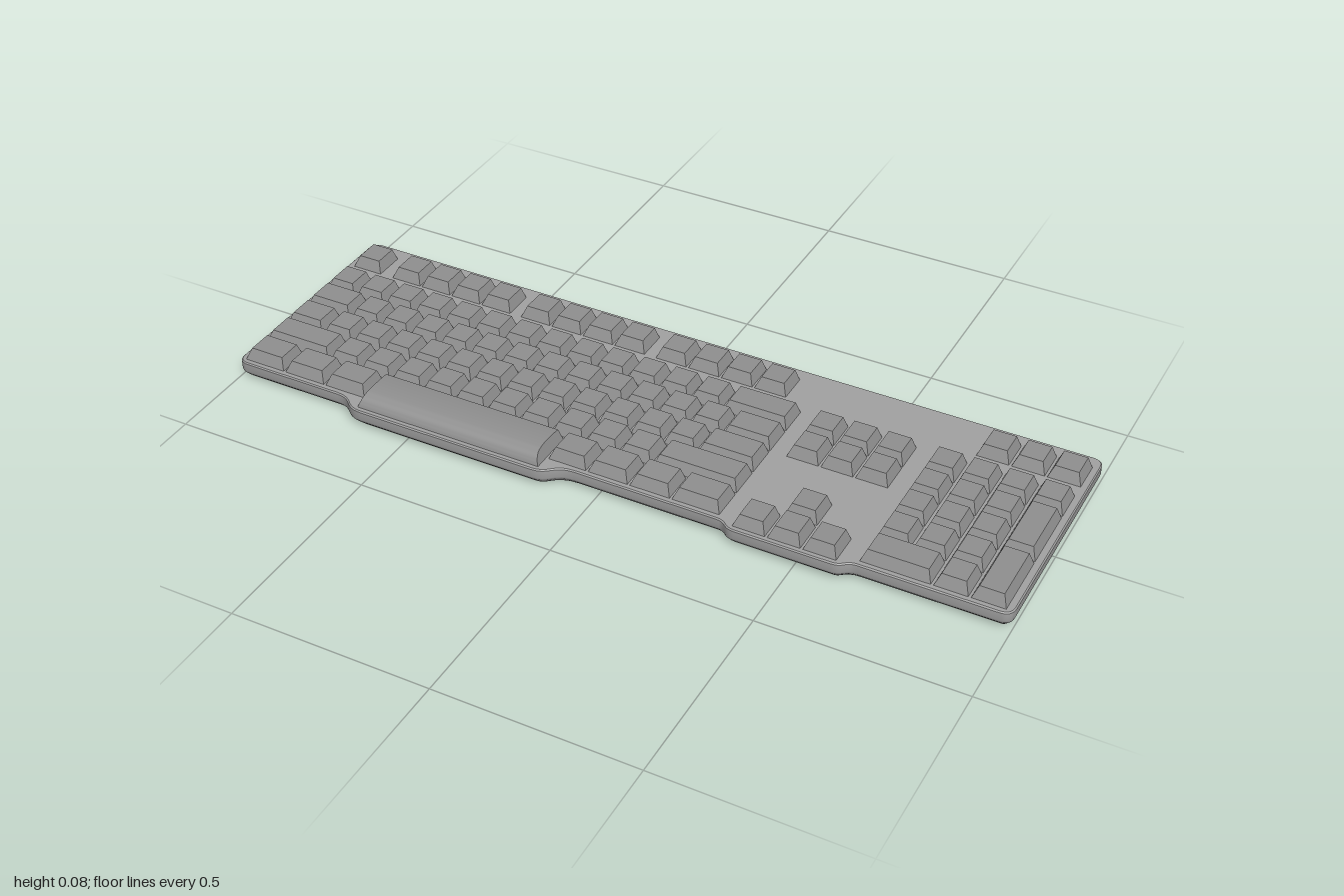
import * as THREE from 'three';
import { toCreasedNormals } from 'three/addons/utils/BufferGeometryUtils.js';

const DECK = 0.05, TOP = 0.078;
const U = 0.0862, ROW = 0.0875, DEPTH = 0.084, GAP = 0.003;
const rowZ = (r) => -0.163 + r * ROW; // back edge of a key row

const caseMaterial = new THREE.MeshStandardMaterial({ color: 0xa2a2a2 });
const keyMaterial = new THREE.MeshStandardMaterial({ color: 0x909090 });

// Plan outline, drawn as (x, -z) and counter-clockwise from above
function caseOutline() {
  const s = new THREE.Shape();
  const r = 0.03, f = -0.283, b = 0.32;
  s.moveTo(-1 + r, f);
  s.lineTo(-0.71, f);
  s.bezierCurveTo(-0.66, f, -0.67, -0.32, -0.62, -0.32); // space bar lip
  s.lineTo(-0.155, -0.32);
  s.bezierCurveTo(-0.105, -0.32, -0.115, f, -0.06, f);
  s.lineTo(0.3, f);
  s.bezierCurveTo(0.33, f, 0.325, -0.304, 0.355, -0.304); // arrow key lip
  s.lineTo(0.59, -0.304);
  s.bezierCurveTo(0.62, -0.304, 0.615, f, 0.645, f);
  s.lineTo(1 - r, f);
  s.quadraticCurveTo(1, f, 1, f + r);
  s.lineTo(1, b - r);
  s.quadraticCurveTo(1, b, 1 - r, b);
  s.lineTo(-1 + r, b);
  s.quadraticCurveTo(-1, b, -1, b - r);
  s.lineTo(-1, f + r);
  s.quadraticCurveTo(-1, f, -1 + r, f);
  const pts = s.getPoints(8);
  if (pts[0].distanceTo(pts[pts.length - 1]) < 1e-6) pts.pop();
  return pts;
}

// Case: the outline stacked at several heights with varying inset
function makeCase() {
  const pts = caseOutline(), n = pts.length;
  const levels = [[0, 0.023], [0.003, 0.018], [0.012, 0.009], [0.02, 0.002], [0.026, 0], [0.047, 0], [DECK, 0.003]];
  const pos = [], idx = [];
  for (const [y, inset] of levels) {
    pts.forEach((p, i) => {
      const t = pts[(i + 1) % n].clone().sub(pts[(i + n - 1) % n]).normalize();
      pos.push(p.x - t.y * inset, y, -(p.y + t.x * inset));
    });
  }
  for (let l = 0; l < levels.length - 1; l++) {
    for (let i = 0; i < n; i++) {
      const a = l * n + i, b = l * n + (i + 1) % n;
      idx.push(a, b, b + n, a, b + n, a + n);
    }
  }
  const top = (levels.length - 1) * n;
  for (const [a, b, c] of THREE.ShapeUtils.triangulateShape(pts, [])) {
    idx.push(c, b, a, top + a, top + b, top + c);
  }
  const g = new THREE.BufferGeometry();
  g.setAttribute('position', new THREE.Float32BufferAttribute(pos, 3));
  g.setIndex(idx);
  return toCreasedNormals(g, 0.7);
}

// Keycap: a box tapered towards the top, most gently sloped at the front
function keyGeometry(w, d) {
  const h = TOP - DECK + 0.004;
  const g = new THREE.BoxGeometry(w, h, d).translate(0, h / 2, 0);
  const p = g.attributes.position;
  for (let i = 0; i < p.count; i++) {
    if (p.getY(i) < h / 2) continue;
    p.setX(i, p.getX(i) - Math.sign(p.getX(i)) * 0.013);
    p.setZ(i, p.getZ(i) > 0 ? d / 2 - 0.016 : -d / 2 + 0.006);
  }
  g.computeVertexNormals();
  return g;
}

// Space bar: rounded side profile drawn as (-z, y), run along x with sloping ends
function spaceBarGeometry(w) {
  const s = new THREE.Shape();
  s.moveTo(-0.308, 0.046);
  s.lineTo(-0.305, 0.056);
  s.quadraticCurveTo(-0.298, 0.074, -0.28, 0.079);
  s.quadraticCurveTo(-0.245, 0.085, -0.195, TOP);
  s.lineTo(-0.188, 0.046);
  s.closePath();
  const g = new THREE.ExtrudeGeometry(s, { depth: w, bevelEnabled: false, curveSegments: 8 });
  g.translate(0, 0, -w / 2).rotateY(Math.PI / 2);
  const p = g.attributes.position;
  for (let i = 0; i < p.count; i++) {
    p.setX(i, p.getX(i) - Math.sign(p.getX(i)) * (p.getY(i) - 0.046) * 0.35);
  }
  return toCreasedNormals(g, 0.6);
}

export function createModel() {
  const model = new THREE.Group();
  const add = (parent, geometry, name, material = keyMaterial) => {
    const m = new THREE.Mesh(geometry, material);
    m.name = name;
    parent.add(m);
    return m;
  };
  const block = (name) => {
    const g = new THREE.Group();
    g.name = name;
    model.add(g);
    return g;
  };
  // One key from its left and back edges
  const key = (parent, x, z, w = U, d = DEPTH) =>
    add(parent, keyGeometry(w - GAP, d), 'key').position.set(x + w / 2, DECK - 0.004, z + d / 2);
  // A row of keys with widths in key units
  const row = (parent, x, z, widths) => {
    for (const w of widths) {
      key(parent, x, z, w * U);
      x += w * U;
    }
  };
  const ones = (n, w = 1) => Array(n).fill(w);

  add(model, makeCase(), 'case', caseMaterial);

  // Function row
  const fn = block('functionKeys'), fz = -0.282;
  row(fn, -0.985, fz, [1]);
  for (const x of [-0.868, -0.487, -0.106]) row(fn, x, fz, ones(4, 1.03));
  row(fn, 0.727, fz, ones(3));

  // Main block
  const main = block('mainKeys'), mx = -0.987;
  const rows = [
    [...ones(13), 2],
    [1.5, ...ones(12), 1.5],
    [1.25, ...ones(12), 1.75],
    [2.15, ...ones(10, 1.03), 2.55],
    ones(3, 1.35),
  ];
  rows.forEach((widths, r) => row(main, mx, rowZ(r), widths));
  row(main, mx + 9.85 * U, rowZ(4), [1.2, 1.25, 1.25, 1.45]);
  add(main, spaceBarGeometry(5.75 * U), 'spaceBar').position.x = mx + 6.95 * U;

  // Navigation and arrow keys
  const nav = block('navigationKeys'), nx = 0.342;
  row(nav, nx, rowZ(0), ones(3));
  row(nav, nx, rowZ(1), ones(3));
  const arrows = block('arrowKeys');
  row(arrows, nx + U, 0.12, [1]);
  row(arrows, nx, 0.209, ones(3));

  // Number pad with two double-height keys
  const pad = block('numberPad'), px = 0.64;
  row(pad, px, rowZ(0), ones(4));
  for (const r of [1, 2, 3]) row(pad, px, rowZ(r), ones(3));
  row(pad, px, rowZ(4), [2, 1]);
  for (const r of [1, 3]) key(pad, px + 3 * U, rowZ(r), U, ROW + DEPTH);

  return model;
}
